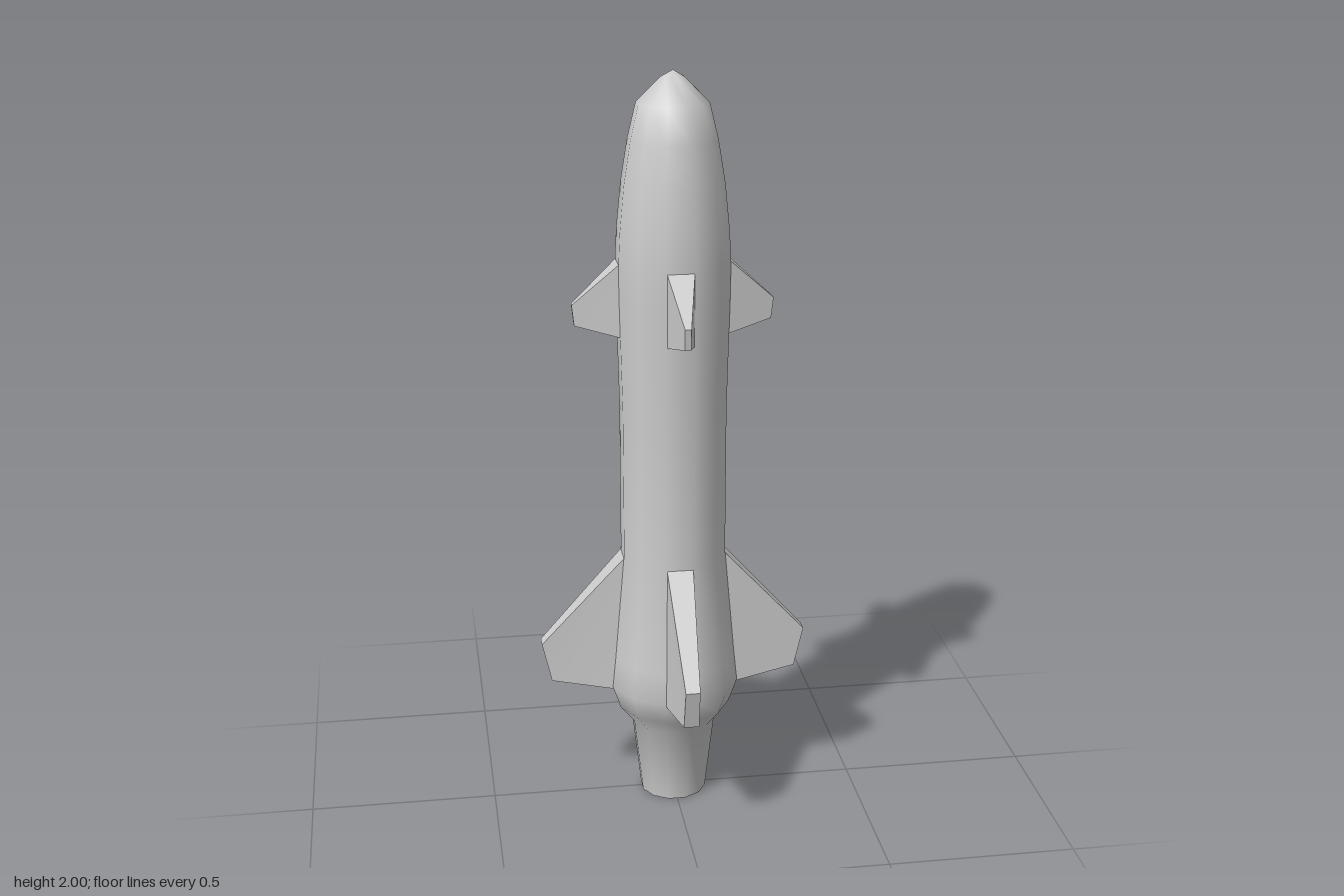
import * as THREE from 'three';
import { toCreasedNormals } from 'three/addons/utils/BufferGeometryUtils.js';

// Tapered fin from four profile corners [x, y, half thickness], root top first, clockwise
function finGeometry(corners) {
  const pos = [], idx = [];
  for (const side of [1, -1]) for (const [x, y, t] of corners) pos.push(x, y, side * t);
  idx.push(0, 2, 1, 0, 3, 2, 4, 5, 6, 4, 6, 7);
  for (let i = 0; i < 4; i++) {
    const j = (i + 1) % 4;
    idx.push(i, j, j + 4, i, j + 4, i + 4);
  }
  const g = new THREE.BufferGeometry();
  g.setAttribute('position', new THREE.Float32BufferAttribute(pos, 3));
  g.setIndex(idx);
  return toCreasedNormals(g, 0.4);
}

export function createModel() {
  const model = new THREE.Group();
  model.name = 'rocket';
  const grey = new THREE.MeshStandardMaterial({ color: 0xcccccc });
  grey.name = 'light grey';

  // Twelve-sided hull: hollow nozzle, flared tail, straight tube, rounded nose
  const profile = [
    [0, 0.1], [0.055, 0.1], [0.055, 0], [0.09, 0], [0.115, 0.22],
    [0.155, 0.27], [0.177, 0.335], [0.168, 0.42], [0.141, 0.72],
    [0.141, 1.12], [0.148, 1.42], [0.149, 1.52], [0.145, 1.6], [0.133, 1.72],
    [0.115, 1.83], [0.093, 1.92], [0.03, 1.983], [0, 2],
  ].map(([r, y]) => new THREE.Vector2(r, y));
  const hull = new THREE.Mesh(
    toCreasedNormals(new THREE.LatheGeometry(profile, 12, Math.PI / 12), 0.95), grey);
  hull.name = 'hull';
  model.add(hull);

  // Four tail fins and four small forward fins, on the flat sides of the hull
  const tail = finGeometry([
    [0.12, 0.73, 0.036], [0.36, 0.465, 0.019], [0.335, 0.355, 0.02], [0.14, 0.325, 0.046],
  ]);
  const forward = finGeometry([
    [0.125, 1.535, 0.039], [0.262, 1.41, 0.008], [0.256, 1.355, 0.008], [0.125, 1.322, 0.038],
  ]);
  for (let i = 0; i < 4; i++) {
    for (const [name, g] of [['tailFin', tail], ['forwardFin', forward]]) {
      const fin = new THREE.Mesh(g, grey);
      fin.name = name + (i + 1);
      fin.rotation.y = (i * Math.PI) / 2;
      model.add(fin);
    }
  }
  return model;
}
